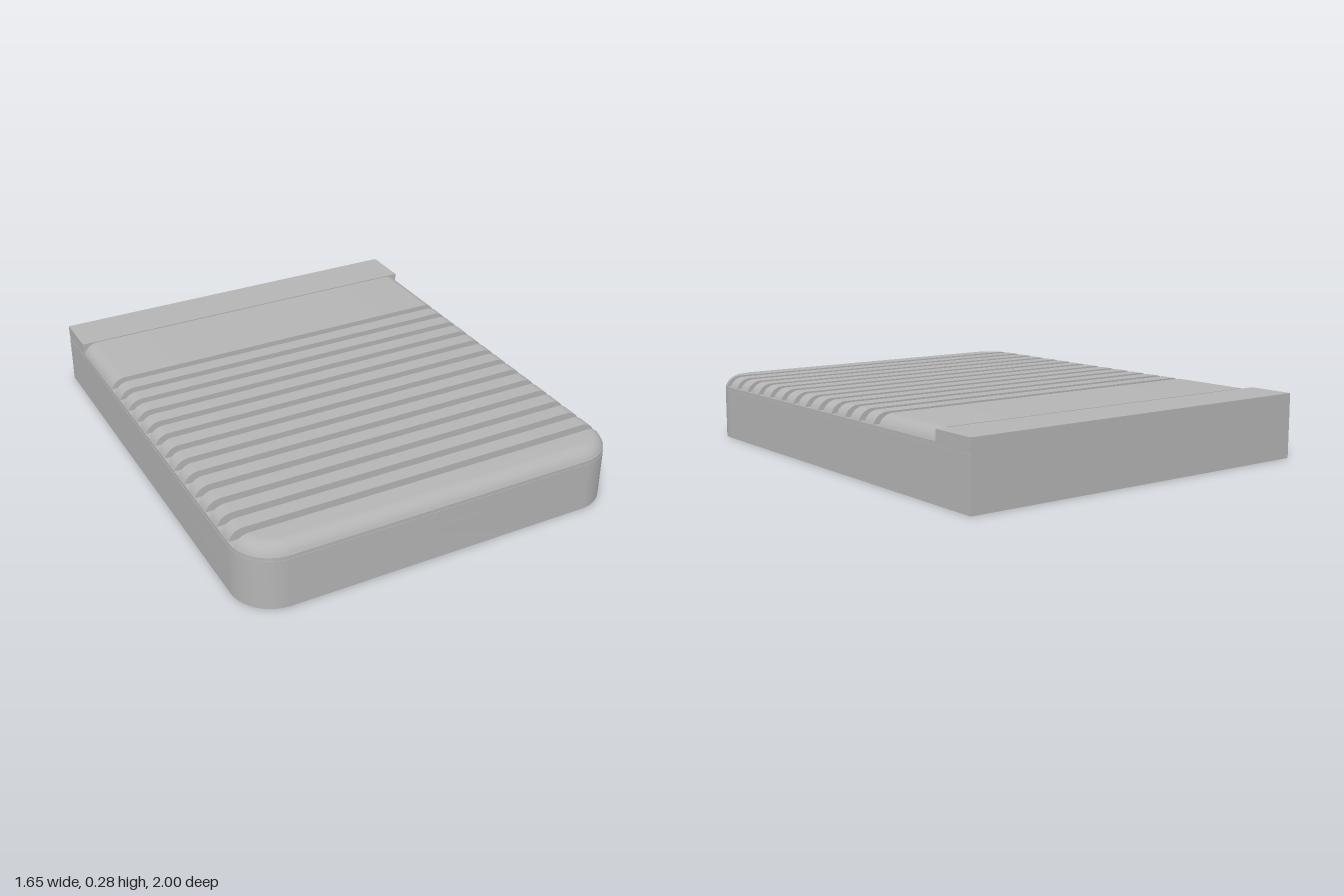
import * as THREE from 'three';
import { toCreasedNormals } from 'three/addons/utils/BufferGeometryUtils.js';

const W = 0.825, R = 0.17, H = 0.275;        // half width, plan corner radius, height
const FILLET = 0.065, FLOOR = 0.23;          // top edge fillet, groove floor
const FAN_Z = 0.135, CEILING = 0.135;        // vent centre, underside ceiling height
const PITCH = 0.1036, GROOVE = 0.038, FIRST = 0.844, GROOVES = 13;

// Plan outline, drawn with shape y = -z: square at the back, rounded at the front
function outline(inset = 0) {
  const w = W - inset, f = 1 - inset, c = W - R, r = R - inset;
  const s = new THREE.Shape();
  s.moveTo(w, 1);
  s.lineTo(-w, 1);
  s.lineTo(-w, -(1 - R));
  s.absarc(-c, -(1 - R), r, Math.PI, Math.PI * 1.5, false);
  s.lineTo(c, -f);
  s.absarc(c, -(1 - R), r, Math.PI * 1.5, Math.PI * 2, false);
  s.closePath();
  return s;
}

const circle = (x, z, r) => new THREE.Path().absarc(x, -z, r, 0, Math.PI * 2, true);

// Horizontal layer between two heights with holes
function layer(y0, y1, holes, inset) {
  const s = outline(inset);
  s.holes.push(...holes);
  const g = new THREE.ExtrudeGeometry(s, { depth: y1 - y0, bevelEnabled: false, curveSegments: 32 });
  g.rotateX(-Math.PI / 2).translate(0, y0, 0);
  return toCreasedNormals(g, 0.6);
}

// Plan ring of a rib from z0 to z1; a rib that reaches z = 1 follows the round corners
function ring(z0, z1, inset) {
  const side = [];
  if (z1 < 1) side.push([W - inset, z0], [W - inset, z1]);
  else {
    const r = R - inset, a0 = Math.asin((z0 - (1 - R)) / r);
    for (let k = 0; k <= 14; k++) {
      const a = a0 + (Math.PI / 2 - a0) * k / 14;
      side.push([W - R + r * Math.cos(a), 1 - R + r * Math.sin(a)]);
    }
  }
  return [...side, ...side.slice().reverse().map(([x, z]) => [-x, z])];
}

// Rib above the groove floor, lofted through the rings of the rounded top edge
function rib(z0, z1) {
  const steps = 8, rings = [], pos = [];
  const t0 = Math.asin((FLOOR - (H - FILLET)) / FILLET);
  for (let k = 0; k <= steps; k++) {
    const t = t0 + (Math.PI / 2 - t0) * k / steps;
    const y = H - FILLET + FILLET * Math.sin(t);
    rings.push(ring(z0, z1, FILLET * (1 - Math.cos(t))).map(([x, z]) => [x, y, z]));
  }
  const tri = (a, b, c) => pos.push(...a, ...b, ...c);
  const n = rings[0].length, low = rings[0], top = rings[steps];
  for (let k = 0; k < steps; k++) {
    for (let j = 0; j < n; j++) {
      const i = (j + 1) % n, a = rings[k], b = rings[k + 1];
      tri(a[j], b[j], a[i]);
      tri(a[i], b[j], b[i]);
    }
  }
  for (let j = 1; j < n - 1; j++) {
    tri(low[0], low[j], low[j + 1]);
    tri(top[0], top[j + 1], top[j]);
  }
  const g = new THREE.BufferGeometry();
  g.setAttribute('position', new THREE.Float32BufferAttribute(pos, 3));
  return toCreasedNormals(g, 0.6);
}

export function createModel() {
  const model = new THREE.Group();
  model.name = 'ventedCover';
  const grey = new THREE.MeshStandardMaterial({ color: 0xb4b4b4 });
  grey.name = 'grey';
  const add = (name, geometry, parent = model) => {
    const m = new THREE.Mesh(geometry, grey);
    m.name = name;
    parent.add(m);
    return m;
  };

  // Skirt wall around the underside cavity
  const cw = W - 0.052, cf = 1 - 0.052, cb = -0.7;
  const cavity = new THREE.Path().setFromPoints([
    new THREE.Vector2(-cw, -cf), new THREE.Vector2(-cw, -cb),
    new THREE.Vector2(cw, -cb), new THREE.Vector2(cw, -cf),
  ]);
  cavity.closePath();
  add('skirt', layer(0, CEILING, [cavity]));

  // Ceiling with the vent opening and four screw recesses
  const recesses = [];
  for (const x of [-0.55, 0.55]) for (const z of [-0.42, 0.69]) recesses.push(circle(x, z, 0.15));
  const vent = () => circle(0, FAN_Z, 0.589);
  add('recessedCeiling', layer(CEILING, 0.185, [vent(), ...recesses]));
  add('upperPlate', layer(0.185, 0.215, [vent()]));
  add('grooveFloor', layer(0.215, FLOOR, [circle(0, FAN_Z, 0.515)], 0.0015));

  // Ribs between the grooves; those over the vent opening act as its grille
  const ribs = new THREE.Group();
  ribs.name = 'ribs';
  model.add(ribs);
  add('frontRib', rib(FIRST + GROOVE / 2, 1), ribs);
  for (let i = 0; i < GROOVES - 1; i++) {
    const z = FIRST - i * PITCH;
    add('rib', rib(z - PITCH + GROOVE / 2, z - GROOVE / 2), ribs);
  }
  add('plainTop', rib(-0.785, FIRST - (GROOVES - 1) * PITCH - GROOVE / 2), ribs);

  // Square block along the back edge
  const block = add('backBlock', new THREE.BoxGeometry(2 * W, H - FLOOR, 0.207));
  block.position.set(0, (H + FLOOR) / 2, -1 + 0.207 / 2);

  // Hanging screws with a wide head and a stepped shank
  for (const x of [-0.545, 0.545]) for (const z of [-0.5, 0.61]) {
    const profile = [[0, 0.05], [0.085, 0.05], [0.085, 0.06], [0.055, 0.075], [0.055, 0.095],
      [0.045, 0.1], [0.055, 0.115], [0.045, 0.125], [0.055, 0.14], [0.045, 0.15], [0.045, 0.19]];
    const g = new THREE.LatheGeometry(profile.map(([r, y]) => new THREE.Vector2(r, y)), 28);
    add('screw', toCreasedNormals(g, 0.5)).position.set(x, 0, z);
  }
  return model;
}
